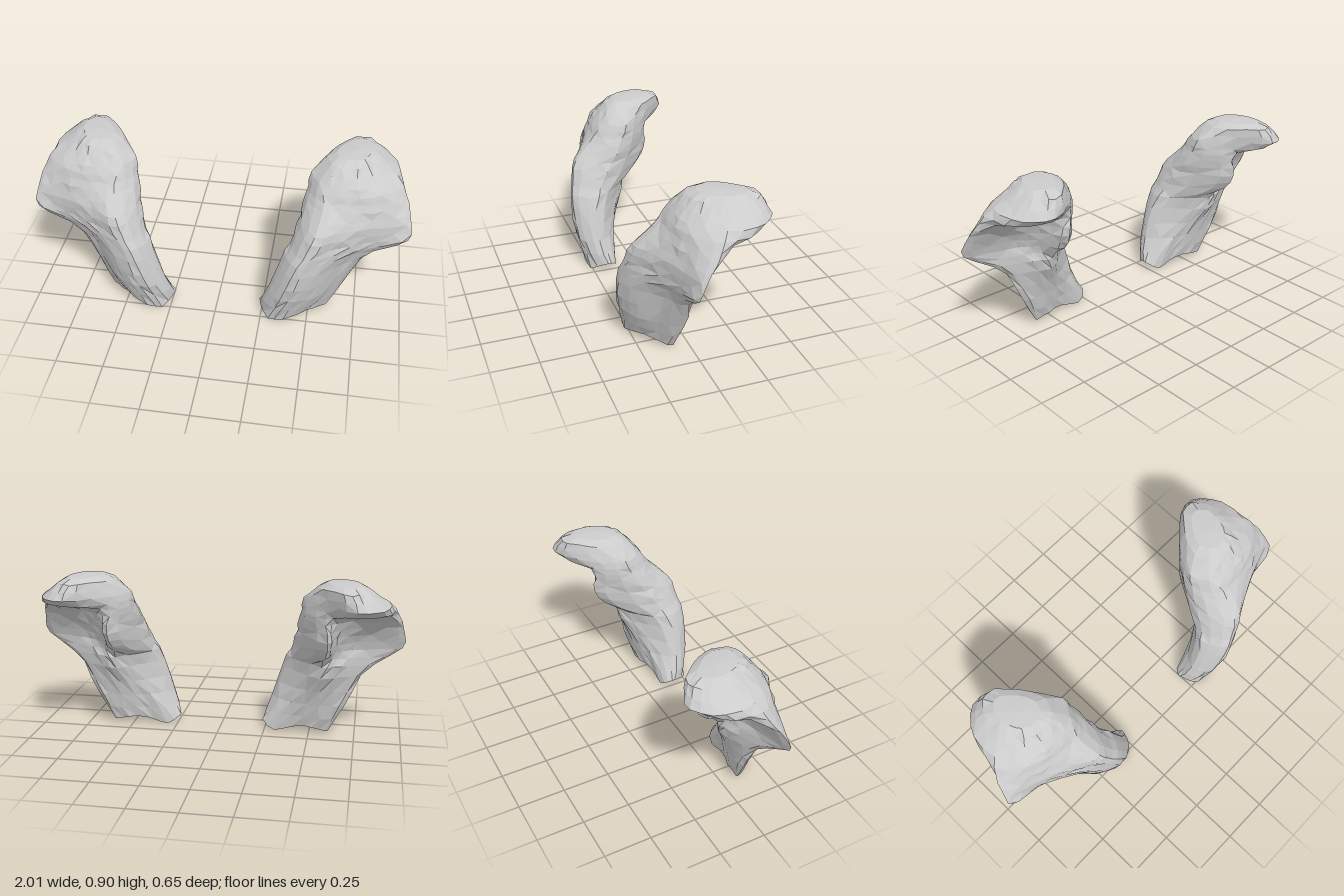
import * as THREE from 'three';

// Horizontal sections of one piece: height, then (x, z) pairs running
// outer edge, front (3), inner edge, inner-back ridge, hollow back (2)
const SECTIONS = [
  [0.02, 0.61, 0.09, 0.53, 0.17, 0.41, 0.265, 0.295, 0.255, 0.235, 0.17, 0.265, 0.12, 0.39, 0.11, 0.52, 0.08],
  [0.20, 0.70, 0.06, 0.62, 0.165, 0.49, 0.285, 0.365, 0.31, 0.285, 0.21, 0.385, 0.10, 0.49, 0.06, 0.60, 0.04],
  [0.40, 0.81, 0.08, 0.69, 0.165, 0.55, 0.28, 0.43, 0.32, 0.355, 0.19, 0.485, 0.03, 0.58, -0.03, 0.69, 0.01],
  [0.50, 0.985, 0.115, 0.82, 0.145, 0.64, 0.225, 0.48, 0.30, 0.395, 0.14, 0.55, -0.12, 0.63, -0.02, 0.78, 0.05],
  [0.60, 0.995, 0.08, 0.85, 0.13, 0.66, 0.21, 0.52, 0.265, 0.425, 0.075, 0.565, -0.18, 0.65, -0.05, 0.82, 0.02],
  [0.70, 0.965, 0.01, 0.84, 0.11, 0.67, 0.155, 0.54, 0.16, 0.445, 0.02, 0.55, -0.17, 0.68, -0.09, 0.86, -0.06],
  [0.78, 0.915, -0.04, 0.81, 0.08, 0.66, 0.12, 0.54, 0.105, 0.46, -0.02, 0.56, -0.19, 0.75, -0.32, 0.88, -0.25],
  [0.87, 0.80, -0.11, 0.75, 0.00, 0.66, 0.045, 0.59, 0.035, 0.54, -0.06, 0.59, -0.185, 0.72, -0.29, 0.80, -0.22],
];
const AROUND = 24;
const RISE = 16;
const { smoothstep } = THREE.MathUtils;

// Small seeded noise for the uneven facets
function makeNoise(seed) {
  let s = seed;
  return (size) => {
    s = (s * 16807) % 2147483647;
    return (s / 2147483647 - 0.5) * size;
  };
}

function centreOf(points) {
  const c = new THREE.Vector3();
  points.forEach((p) => c.add(p));
  return c.divideScalar(points.length);
}

// ridgeInset moves the inner-back ridge under the hood outward
function bladeGeometry(side, ridgeInset) {
  const noise = makeNoise(77);

  // Round each section into a closed loop
  const loops = SECTIONS.map(([y, ...xz]) => {
    const pts = [];
    for (let i = 0; i < xz.length; i += 2) pts.push(new THREE.Vector3(xz[i], y, xz[i + 1]));
    if (y > 0.45 && y < 0.8) pts[5].x += ridgeInset;
    const curve = new THREE.CatmullRomCurve3(pts, true);
    return Array.from({ length: AROUND }, (_, i) => curve.getPoint(i / AROUND));
  });

  // Join the loops with smooth rising curves
  const columns = Array.from({ length: AROUND }, (_, i) =>
    new THREE.CatmullRomCurve3(loops.map((loop) => loop[i])));
  const rings = [];
  for (let j = 0; j <= RISE; j++) {
    rings.push(columns.map((c) => {
      const p = c.getPoint(j / RISE);
      return p.set(p.x + noise(0.01), p.y + noise(0.01), p.z + noise(0.01));
    }));
  }

  // Crown ring closes the hood with a low dome
  const top = rings[rings.length - 1];
  const topCentre = centreOf(top).setY(0.9);
  rings.push(top.map((p) => p.clone().lerp(topCentre, 0.32).setY(0.893)));

  // Foot: inner toe tipped up, lowest just beside it, hollow towards the outer heel
  const bottomCentre = centreOf(rings[0]).setY(0.045);
  rings[0].forEach((p) => {
    p.y = 0.05 * (1 - smoothstep(p.x, 0.22, 0.3))
      + 0.04 * smoothstep(p.x, 0.3, 0.48) - 0.02 * smoothstep(p.x, 0.5, 0.6);
  });

  const points = [...rings.flat(), bottomCentre, topCentre];
  const bottomIndex = points.length - 2;
  const topIndex = points.length - 1;
  const index = [];
  const tri = (a, b, c) => index.push(...(side > 0 ? [a, b, c] : [a, c, b]));
  for (let i = 0; i < AROUND; i++) {
    const n = (i + 1) % AROUND;
    for (let j = 0; j < rings.length - 1; j++) {
      const a = j * AROUND + i, b = j * AROUND + n;
      const c = a + AROUND, d = b + AROUND;
      if ((i + j) % 2) {
        tri(a, c, b);
        tri(b, c, d);
      } else {
        tri(a, c, d);
        tri(a, d, b);
      }
    }
    const last = (rings.length - 1) * AROUND;
    tri(bottomIndex, i, n);
    tri(topIndex, last + n, last + i);
  }

  const geometry = new THREE.BufferGeometry();
  geometry.setAttribute('position', new THREE.Float32BufferAttribute(
    points.flatMap((p) => [p.x * side, p.y, p.z]), 3));
  geometry.setIndex(index);
  geometry.computeVertexNormals();
  return geometry;
}

export function createModel() {
  const group = new THREE.Group();
  group.name = 'hoodedBladePair';
  const material = new THREE.MeshStandardMaterial({ color: 0xcccccc, flatShading: true });

  // Mirrored pair with a slightly different inner ridge
  for (const [name, side, ridgeInset] of [['leftHoodedBlade', 1, 0], ['rightHoodedBlade', -1, 0.04]]) {
    const mesh = new THREE.Mesh(bladeGeometry(side, ridgeInset), material);
    mesh.name = name;
    group.add(mesh);
  }
  return group;
}
